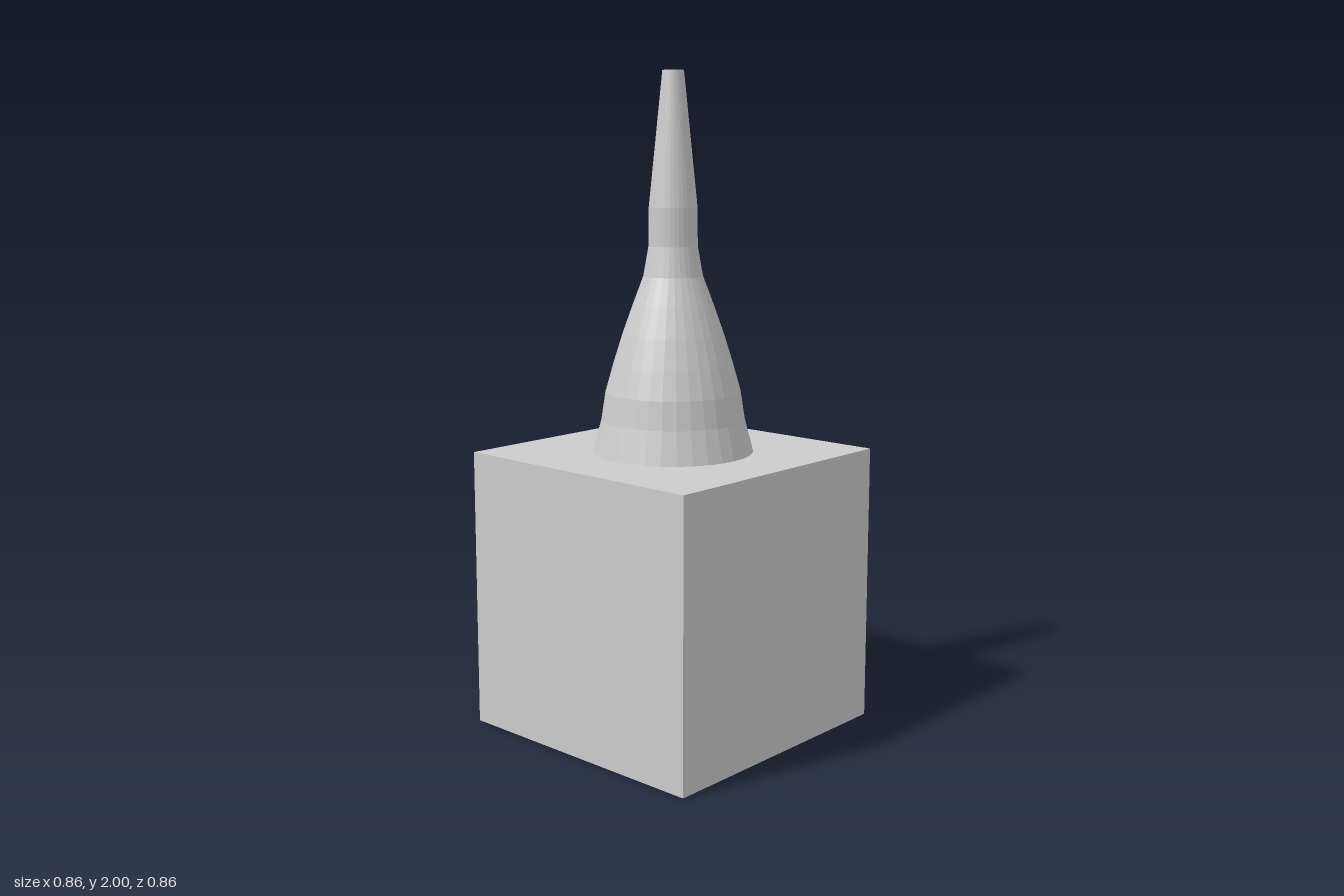
import * as THREE from 'three';

export function createModel() {
  const group = new THREE.Group();
  const material = new THREE.MeshStandardMaterial({ color: 0xcccccc, flatShading: true });

  // Cube pedestal
  const size = 0.86;
  const pedestal = new THREE.Mesh(new THREE.BoxGeometry(size, size, size), material);
  pedestal.name = 'pedestal';
  pedestal.position.y = size / 2;
  group.add(pedestal);

  // Turned spire: flared foot, bell-shaped body, narrow neck and tapering tip with a flat cap
  const profile = [
    [0.245, 0.86], [0.219, 0.96], [0.206, 1.045], [0.182, 1.13], [0.154, 1.22],
    [0.122, 1.31], [0.09, 1.395], [0.074, 1.485], [0.073, 1.6], [0.032, 2], [0, 2],
  ].map(([r, y]) => new THREE.Vector2(r, y));
  const spire = new THREE.Mesh(new THREE.LatheGeometry(profile, 32), material);
  spire.name = 'spire';
  group.add(spire);

  return group;
}
